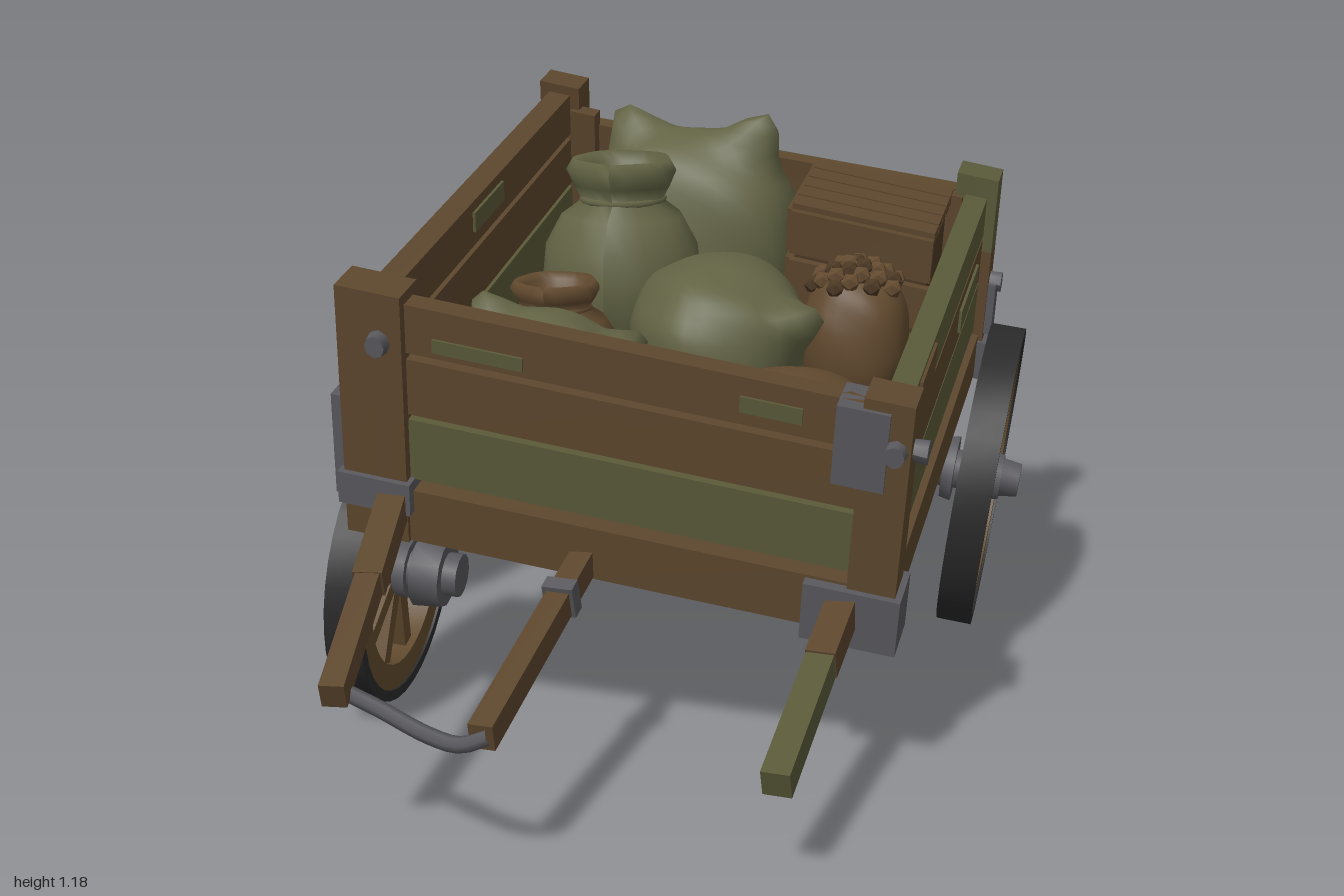
import * as THREE from 'three';
import { toCreasedNormals } from 'three/addons/utils/BufferGeometryUtils.js';

const paint = (name, color) => Object.assign(new THREE.MeshStandardMaterial({ color }), { name });
const V = (a) => new THREE.Vector3(...a);

export function createModel() {
  const cart = new THREE.Group();
  cart.name = 'handcart';
  const wood = paint('brown wood', 0x5c462d);
  const wheelWood = paint('wheel wood', 0x624b2f);
  const darkWood = paint('dark wood', 0x4b3824);
  const green = paint('worn green paint', 0x595939);
  const metal = paint('grey iron', 0x58585d);
  const tyre = paint('black tyre', 0x2a2a2a);
  const cloth = paint('green sackcloth', 0x626344);
  const brownCloth = paint('brown sackcloth', 0x624a2f);
  cloth.side = brownCloth.side = THREE.DoubleSide;

  const add = (parent, name, geo, mat) => {
    const m = new THREE.Mesh(geo, mat);
    m.name = name;
    parent.add(m);
    return m;
  };

  // Leaning body: a 1 x 0.46 x 1.3 box is stretched between eight post ends.
  // Order: front then back; bottom then top; -x then +x.
  const corners = [
    [-0.44, 0.44, 0.43], [0.505, 0.30, 0.40], [-0.43, 0.92, 0.47], [0.54, 0.76, 0.44],
    [-0.45, 0.67, -0.93], [0.55, 0.49, -0.89], [-0.43, 1.15, -0.83], [0.58, 0.96, -0.85],
  ].map(V);
  const place = (x, y, z) => {
    const t = [x + 0.5, y / 0.46, 0.5 - z / 1.3];
    const out = new THREE.Vector3();
    corners.forEach((c, i) => {
      const k = (i & 1 ? t[0] : 1 - t[0]) * (i & 2 ? t[1] : 1 - t[1]) * (i & 4 ? t[2] : 1 - t[2]);
      out.addScaledVector(c, k);
    });
    return out;
  };
  const warp = (geo) => {
    const p = geo.attributes.position;
    for (let i = 0; i < p.count; i++) p.setXYZ(i, ...place(p.getX(i), p.getY(i), p.getZ(i)).toArray());
    geo.computeVertexNormals();
    return geo;
  };
  const body = new THREE.Group();
  body.name = 'body';
  cart.add(body);
  const board = (name, mat, x, y, z, w, h, d, tilt = 0) => add(body, name,
    warp(new THREE.BoxGeometry(w, h, d, 2, 1, 2).rotateZ(tilt).translate(x, y, z)), mat);

  board('floor', wood, 0, 0.065, 0, 0.96, 0.03, 1.26);

  // Plank walls: base beam, two boards and a top rail on every side
  const rows = [[0.05, 0.1], [0.175, 0.115], [0.295, 0.105], [0.405, 0.09]];
  rows.forEach(([y, h], i) => {
    const t = i === 0 ? 0.075 : 0.05;
    const low = i === 1 ? green : wood;
    board('frontPlank', low, 0, y, 0.65, 0.94, h, t);
    board('backPlank', low, 0, y - i * 0.014, -0.65, 0.94, h * 0.92, t, i * 0.014);
    board('leftPlank', i % 2 ? green : wood, 0.5, y - i * 0.008, 0, t, h * 0.96, 1.24);
    board('rightPlank', low, -0.5, y, 0, t, h, 1.24);
  });

  // Worn paint patches
  board('backRailPaint', green, 0, 0.363, -0.677, 0.9, 0.08, 0.008, 0.042);
  board('frontRailInnerPaint', green, 0, 0.405, 0.623, 0.85, 0.07, 0.008);
  board('frontInnerPaint', green, 0.05, 0.3, 0.623, 0.7, 0.08, 0.008);
  board('wornPatch', green, -0.29, 0.385, 0.677, 0.18, 0.025, 0.008);
  board('wornPatch', green, 0.28, 0.4, 0.677, 0.12, 0.03, 0.008);
  board('wornPatch', wood, 0.527, 0.385, 0.36, 0.008, 0.06, 0.2);
  board('wornPatch', green, 0.527, 0.28, -0.35, 0.008, 0.05, 0.3);
  board('wornPatch', green, -0.473, 0.41, 0.05, 0.008, 0.04, 0.2);

  // Corner posts with iron shoes and bolts
  for (const sx of [-1, 1]) for (const sz of [-1, 1]) {
    const x = sx * 0.5, z = sz * 0.65, w = sz > 0 && sx < 0 ? 0.13 : 0.095;
    board('cornerPost', wood, x, 0.15, z, w, 0.3, 0.095);
    board('cornerPostTop', sx > 0 && sz < 0 ? green : wood, x, 0.385, z, w, 0.17, 0.095);
    board('postInnerBrace', wood, x - sx * 0.06, 0.24, z - sz * 0.04, 0.06, 0.36, 0.05);
    add(body, 'sideBolt', warp(new THREE.CylinderGeometry(0.02, 0.024, 0.04, 8)
      .rotateZ(Math.PI / 2).translate(x + sx * 0.055, sz > 0 ? 0.37 : 0.22, z)), metal);
    add(body, 'endBolt', warp(new THREE.CylinderGeometry(0.02, 0.024, 0.035, 8)
      .rotateX(Math.PI / 2).translate(x + 0.02, 0.38, z + sz * 0.055)), metal);
  }
  board('ironShoe', metal, -0.5, 0.09, 0.65, 0.15, 0.06, 0.12);
  board('ironShoe', metal, 0.465, 0.04, 0.65, 0.19, 0.11, 0.125);
  board('ironShoe', metal, -0.48, 0.04, -0.65, 0.16, 0.09, 0.135);
  board('ironShoe', metal, 0.47, 0.04, -0.66, 0.19, 0.09, 0.135);
  board('ironCap', metal, 0.455, 0.375, 0.655, 0.1, 0.15, 0.105);
  board('ironStrap', metal, -0.57, 0.16, 0.65, 0.04, 0.19, 0.07);
  board('ironStrap', metal, 0.55, 0.16, -0.65, 0.03, 0.12, 0.07);
  board('ironStrap', metal, -0.5, 0.2, -0.7, 0.06, 0.1, 0.02);

  // Crate in the back corner, with a slatted lid
  board('crate', darkWood, 0.285, 0.24, -0.46, 0.3, 0.31, 0.31);
  for (let i = 0; i < 5; i++) board('crateLidSlat', wood, 0.285, 0.412, -0.59 + i * 0.065, 0.32, 0.025, 0.058);
  for (const y of [0.14, 0.255, 0.365]) {
    board('crateFrontSlat', wood, 0.285, y, -0.295, 0.32, 0.095, 0.025);
    board('crateSideSlat', wood, 0.125, y, -0.46, 0.02, 0.095, 0.33);
  }

  // Beams and handles between two points
  const beam = (name, mat, a, b, w, h) => {
    const from = V(a), to = V(b);
    const m = add(cart, name, new THREE.BoxGeometry(w, h, from.distanceTo(to)), mat);
    m.position.copy(from).lerp(to, 0.5);
    m.lookAt(to);
  };
  beam('rightHandle', wood, [-0.42, 0.54, 0.38], [-0.375, 0.42, 0.7], 0.055, 0.055);
  beam('rightHandle', wood, [-0.376, 0.425, 0.69], [-0.342, 0.315, 0.965], 0.045, 0.05);
  beam('middleHandle', wood, [-0.035, 0.42, 0.38], [-0.075, 0.27, 0.97], 0.045, 0.05);
  beam('middleHandleCollar', metal, [-0.046, 0.38, 0.555], [-0.049, 0.37, 0.585], 0.06, 0.065);
  beam('leftHandle', green, [0.455, 0.345, 0.47], [0.415, 0.2, 0.89], 0.052, 0.052);
  beam('leftHandleRoot', wood, [0.465, 0.375, 0.38], [0.443, 0.302, 0.6], 0.056, 0.056);
  add(cart, 'handleCrossbar', new THREE.TubeGeometry(new THREE.CatmullRomCurve3([
    [-0.35, 0.31, 0.92], [-0.28, 0.285, 0.925], [-0.17, 0.258, 0.96], [-0.11, 0.255, 0.975], [-0.06, 0.275, 0.975],
  ].map(V)), 16, 0.015, 6), metal);
  beam('rearAxle', wood, [-0.62, 0.385, -0.49], [0.62, 0.35, -0.47], 0.036, 0.036);

  // Wheels: hoops turned around x, ten spokes and an iron hub
  const hoop = (r0, r1, w) => toCreasedNormals(new THREE.LatheGeometry(
    [[r0, -w], [r1, -w], [r1, w], [r0, w], [r0, -w]].map(([r, y]) => new THREE.Vector2(r, y / 2)), 36), 0.6)
    .rotateZ(Math.PI / 2);
  const wheel = (name, x, y, z, r, lean, side, hubIn, hubOut) => {
    const g = new THREE.Group();
    g.name = name;
    g.position.set(x, y, z);
    g.rotation.z = -lean;
    cart.add(g);
    add(g, 'tyre', hoop(r - 0.022, r, 0.076), tyre);
    add(g, 'rim', hoop(r - 0.075, r - 0.018, 0.066), wheelWood);
    for (let i = 0; i < 10; i++) {
      const spoke = new THREE.BoxGeometry(0.036, r - 0.08, 0.034).translate(0, (r - 0.02) / 2, 0);
      add(g, 'spoke', spoke.rotateX((i + 0.5) * Math.PI / 5), wheelWood);
    }
    const hub = (label, r0, r1, from, to) => add(g, label, toCreasedNormals(
      new THREE.CylinderGeometry(r1, r0, to - from, 12), 0.6).translate(0, (from + to) / 2, 0)
      .rotateZ(-side * Math.PI / 2), metal);
    hub('hub', 0.062, 0.052, -0.045, 0.045);
    hub('hubCap', 0.045, 0.038, 0.04, hubOut);
    hub('hubFlange', 0.07, 0.075, -hubIn, -0.06);
    hub('hubSleeve', 0.045, 0.045, -hubIn - 0.03, 0);
  };
  wheel('rearLeftWheel', 0.64, 0.343, -0.475, 0.339, 0.125, 1, 0.085, 0.085);
  wheel('rearRightWheel', -0.635, 0.388, -0.49, 0.355, 0.098, -1, 0.13, 0.1);
  wheel('frontRightWheel', -0.502, 0.285, 0.25, 0.277, 0.07, -1, 0.12, 0.09);

  // Stuffed sacks: squarish balls with soft folds and pulled-out corners, resting on the floor
  const sack = (name, mat, pos, r, turn = 0, ears = []) => {
    const geo = new THREE.SphereGeometry(1, 32, 24), p = geo.attributes.position;
    const dirs = ears.map((e) => V(e).normalize()), n = new THREE.Vector3();
    const soft = (v) => Math.sign(v) * Math.abs(v) ** 0.85;
    for (let i = 0; i < p.count; i++) {
      n.fromBufferAttribute(p, i);
      let k = 0.95 + 0.025 * Math.sin(5 * n.x + 4 * n.y) * Math.cos(4 * n.z - 3 * n.y);
      for (const d of dirs) k += 0.34 * Math.max(0, n.dot(d)) ** 40;
      p.setXYZ(i, soft(n.x) * k * r[0], soft(n.y) * k * r[1], soft(n.z) * k * r[2]);
    }
    geo.rotateY(turn).translate(...pos);
    for (let i = 0; i < p.count; i++) {
      const floor = place(p.getX(i) - 0.05, 0.082, p.getZ(i) + 0.22).y;
      p.setY(i, Math.max(p.getY(i), floor));
    }
    geo.computeVertexNormals();
    add(cart, name, geo, mat);
  };
  sack('backSack', cloth, [-0.08, 0.815, -0.68], [0.275, 0.265, 0.175], -0.08, [[-0.45, 0.92, 0], [0.5, 0.83, 0.1]]);
  sack('middleSack', cloth, [0.07, 0.68, -0.28], [0.2, 0.18, 0.255], 0.25, [[0.8, 0.3, 0.55]]);
  sack('frontRightSack', cloth, [-0.2, 0.65, 0.2], [0.185, 0.185, 0.165], 0, [[-0.4, 0.9, 0.1], [0.8, 0.4, -0.3]]);
  sack('frontLeftSack', cloth, [0.2, 0.53, 0.185], [0.18, 0.16, 0.175], 0.2, [[-0.7, 0.4, -0.5]]);
  sack('frontBrownSack', brownCloth, [0.29, 0.55, 0.13], [0.21, 0.17, 0.215]);

  // Tied sacks: round body, pinched neck and an open flared mouth
  const tied = (name, mat, x, y, z, r, h) => {
    const profile = [[0, 0], [0.72, 0.01], [0.94, 0.15], [1, 0.35], [0.95, 0.54], [0.75, 0.7],
      [0.5, 0.78], [0.6, 0.86], [0.68, 0.94], [0.6, 1], [0.48, 0.95], [0.4, 0.82], [0, 0.8]];
    const geo = new THREE.LatheGeometry(profile.map(([a, b]) => new THREE.Vector2(a * r, b * h)), 24);
    const p = geo.attributes.position;
    for (let i = 0; i < p.count; i++) {
      const a = Math.atan2(p.getZ(i), p.getX(i)), k = 1 + 0.04 * Math.sin(5 * a) * p.getY(i) / h;
      p.setXYZ(i, p.getX(i) * k, p.getY(i), p.getZ(i) * k);
    }
    geo.computeVertexNormals();
    add(cart, name, geo, mat).position.set(x, y, z);
    const cord = new THREE.TorusGeometry(r * 0.5, r * 0.05, 6, 20).rotateX(Math.PI / 2);
    add(cart, name + 'Cord', cord, mat).position.set(x, y + h * 0.78, z);
  };
  tied('tallTiedSack', cloth, -0.18, 0.62, -0.42, 0.18, 0.42);
  tied('smallTiedSack', brownCloth, -0.24, 0.56, -0.08, 0.14, 0.27);

  // Open bag heaped with nuts
  sack('nutBag', brownCloth, [0.355, 0.66, -0.4], [0.125, 0.17, 0.125]);
  for (let i = 0; i < 32; i++) {
    const a = i * 2.4, d = 0.1 * Math.sqrt(i / 32);
    add(cart, 'nut', new THREE.IcosahedronGeometry(0.022, 0), i % 3 ? brownCloth : darkWood)
      .position.set(0.355 + d * Math.cos(a), 0.83 - d * d * 5, -0.4 + d * Math.sin(a));
  }
  return cart;
}
